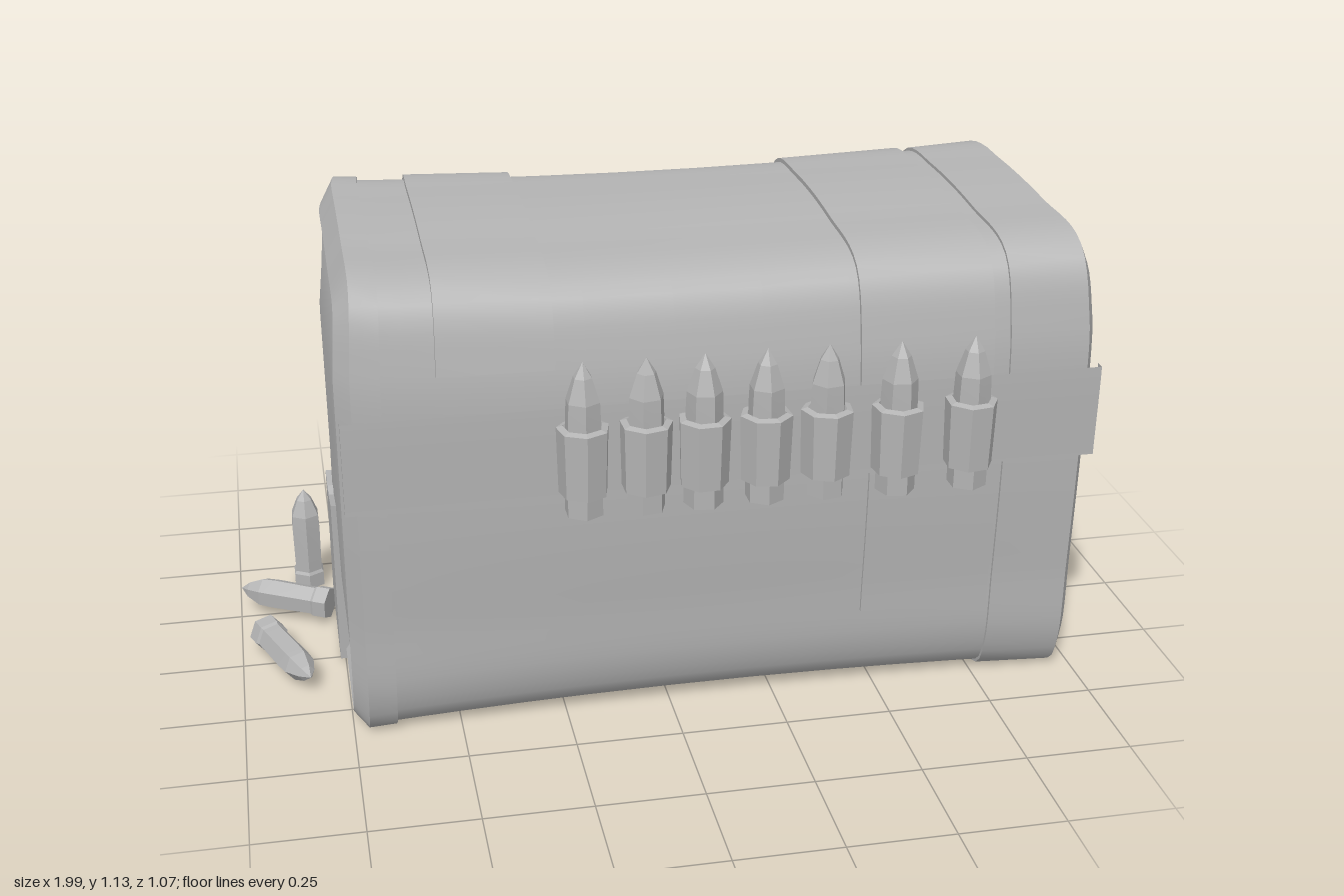
import * as THREE from 'three';
import { toCreasedNormals } from 'three/addons/utils/BufferGeometryUtils.js';

const material = new THREE.MeshStandardMaterial({ color: 0xb4b4b4, side: THREE.DoubleSide });
material.name = 'grey';

// Closed trunk cross-section as (z, y): up the front, over the lid, down the back
const outline = [
  [0.34, 0.01], [0.385, 0.09], [0.395, 0.3], [0.405, 0.6], [0.4, 0.92], [0.345, 1.08],
  [0.1, 1.11], [-0.2, 1.12], [-0.385, 1.11], [-0.465, 1.03], [-0.51, 0.8], [-0.5, 0.55],
  [-0.505, 0.25], [-0.49, 0.08], [-0.44, 0.01], [-0.05, 0.005],
];
const COUNT = 120;
const curve = new THREE.CatmullRomCurve3(
  outline.map(([z, y]) => new THREE.Vector3(0, y, z)), true, 'centripetal');
const spaced = curve.getSpacedPoints(COUNT).slice(0, COUNT);
const section = spaced.map((p, i) => {
  const a = spaced[(i + COUNT - 1) % COUNT], b = spaced[(i + 1) % COUNT];
  const l = Math.hypot(b.z - a.z, b.y - a.y);
  return { z: p.z, y: p.y, nz: (b.y - a.y) / l, ny: -(b.z - a.z) / l };
});

// Part of the cross-section that satisfies a test, in order
function pick(test) {
  const start = section.findIndex((p, i) => test(p) && !test(section[(i + COUNT - 1) % COUNT]));
  const run = [];
  for (let i = start; test(section[i % COUNT]); i++) run.push(section[i % COUNT]);
  return run;
}

// Softens the long corners towards the middle and tapers the ends at the back and top
function shape(x, y, z) {
  const u = (x - 0.12) / 0.86;
  const middle = Math.max(0, 1 - u * u);
  const corner = ((z + 0.05) / 0.455 * (y - 0.56) / 0.56) ** 2;
  const pull = 1 - 0.045 * middle * corner;
  const back = THREE.MathUtils.clamp((-z - 0.28) / 0.22, 0, 1);
  const top = THREE.MathUtils.clamp((y - 0.9) / 0.2, 0, 1);
  const taper = (0.025 * back + 0.015 * top) * u ** 5;
  const py = 0.56 + (y - 0.56) * pull;
  return [x - taper, Math.max(0, py * (1 - 0.008 * middle)), -0.05 + (z + 0.05) * pull];
}

// Skin through stations [x, outward offset, scale about the centre]; insets are deeper at the top
function loft(points, stations, closed) {
  const pos = [], idx = [], n = points.length;
  for (const [x, off, s = 1] of stations) {
    for (const p of points) {
      const d = off < -0.03 ? off * (1 + 0.5 * Math.max(0, p.ny)) : off;
      pos.push(...shape(x, 0.55 + (p.y + p.ny * d - 0.55) * s, -0.05 + (p.z + p.nz * d + 0.05) * s));
    }
  }
  for (let i = 0; i < stations.length - 1; i++) {
    for (let j = 0; j < (closed ? n : n - 1); j++) {
      const a = i * n + j, b = i * n + (j + 1) % n;
      idx.push(a, a + n, b, b, a + n, b + n);
    }
  }
  const g = new THREE.BufferGeometry();
  g.setAttribute('position', new THREE.Float32BufferAttribute(pos, 3));
  g.setIndex(idx);
  return toCreasedNormals(g, 0.6);
}

// Prism along x from x0 to x1 with a (z, y) outline
function prism(points, x0, x1) {
  const s = new THREE.Shape(points.map(([z, y]) => new THREE.Vector2(-z, y)));
  return new THREE.ExtrudeGeometry(s, { depth: x1 - x0, bevelEnabled: false })
    .rotateY(Math.PI / 2).translate(x0, 0, 0);
}

export function createModel() {
  const model = new THREE.Group();
  const add = (name, geometry, parent = model) => {
    const mesh = new THREE.Mesh(geometry, material);
    mesh.name = name;
    parent.add(mesh);
    return mesh;
  };

  // Trunk body with softly bulging ends
  const middle = [-0.6, -0.5, -0.35, -0.2, 0, 0.2, 0.4, 0.55, 0.7, 0.8].map((x) => [x, 0]);
  add('body', loft(section, [
    [-0.752, 0, 0], [-0.748, 0, 0.55], [-0.738, -0.05], [-0.7, 0], ...middle,
    [0.93, 0], [0.962, -0.05], [0.975, 0, 0.55], [0.98, 0, 0],
  ], true));

  // Edge bands wrapped around both ends
  add('rightEdgeBand', loft(section, [
    [0.77, 0], [0.77, 0.008], [0.955, 0.008], [0.98, -0.035], [0.965, -0.05],
  ], true));
  add('leftEdgeBand', loft(section, [
    [-0.738, -0.05], [-0.748, -0.035], [-0.715, 0.008], [-0.65, 0.008], [-0.65, 0],
  ], true));

  // Straps that follow the cross-section
  const strap = (name, x0, x1, t, test) =>
    add(name, loft(pick(test), [[x0, -0.01], [x0, t], [x1, t], [x1, -0.01]], false));
  strap('lidStrap', 0.42, 0.73, 0.011, (p) => p.y > 0.81);
  strap('lidStrap', -0.53, -0.27, 0.013, (p) => p.y > 0.9);
  strap('frontStrap', 0.45, 0.76, 0.008, (p) => p.z > 0.3 && p.y > 0.2 && p.y < 0.6);
  strap('backStrap', 0.45, 0.73, 0.008, (p) => p.z < -0.3 && p.y > 0.03 && p.y < 0.68);
  strap('backStrap', -0.53, -0.29, 0.008, (p) => p.z < -0.3 && p.y > 0.03 && p.y < 0.68);
  strap('belt', -0.742, 0.988, 0.013, (p) => p.z > 0.3 && p.y > 0.59 && p.y < 0.82);

  // Thin hinge ledges and the plates under them
  const ledge = [[-0.48, 0.855], [-0.53, 0.84], [-0.538, 0.81], [-0.535, 0.8], [-0.48, 0.815]];
  const plate = [[-0.48, 0.82], [-0.524, 0.81], [-0.518, 0.65], [-0.48, 0.65]];
  for (const [x0, x1, p0, p1] of [[0.4, 0.9, 0.41, 0.74], [-0.71, -0.26, -0.55, -0.27]]) {
    add('hingeLedge', prism(ledge, x0, x1));
    add('hingePlate', prism(plate, p0, p1));
  }

  // Torn patch at the foot of each end
  const patch = [
    [0.045, 0.44], [-0.08, 0.41], [-0.09, 0.43], [-0.105, 0.4], [-0.22, 0.41],
    [-0.26, 0.04], [0.025, 0.01],
  ];
  for (const x of [0.965, -0.763]) add('endPatch', prism(patch, x, x + 0.028));

  // Faceted cartridges
  const lathe = (pts, sides) => toCreasedNormals(
    new THREE.LatheGeometry(pts.map(([r, y]) => new THREE.Vector2(r, y)), sides), 0.1);
  const cartridge = lathe([
    [0, -0.18], [0.045, -0.18], [0.045, -0.13], [0.04, -0.12], [0.042, 0.04],
    [0.04, 0.09], [0.022, 0.145], [0, 0.18],
  ], 6);
  const loop = lathe([[0.045, -0.13], [0.056, -0.13], [0.06, 0.025], [0.045, 0.03]], 7);

  // Cartridges held in belt loops
  [-0.22, -0.08, 0.05, 0.19, 0.33, 0.49, 0.66].forEach((x, i) => {
    const held = new THREE.Group();
    held.name = 'beltCartridge';
    add('cartridge', cartridge, held);
    add('loop', loop, held);
    held.position.set(x, 0.757, i < 5 ? 0.46 : 0.474);
    held.rotation.y = i * 0.7;
    model.add(held);
  });

  // Loose cartridges on the ground: one upright, two lying
  const loose = (from, to) => {
    const a = new THREE.Vector3(...from), b = new THREE.Vector3(...to);
    const dir = b.clone().sub(a), mesh = add('looseCartridge', cartridge);
    mesh.position.copy(a).add(b).multiplyScalar(0.5);
    mesh.scale.set(0.95, dir.length() / 0.36, 0.95);
    mesh.quaternion.setFromUnitVectors(new THREE.Vector3(0, 1, 0), dir.normalize());
  };
  loose([-0.82, 0.01, -0.39], [-0.82, 0.28, -0.39]);
  loose([-0.775, 0.05, -0.19], [-0.995, 0.06, -0.295]);
  loose([-0.94, 0.05, -0.08], [-0.84, 0.05, 0.17]);

  return model;
}
